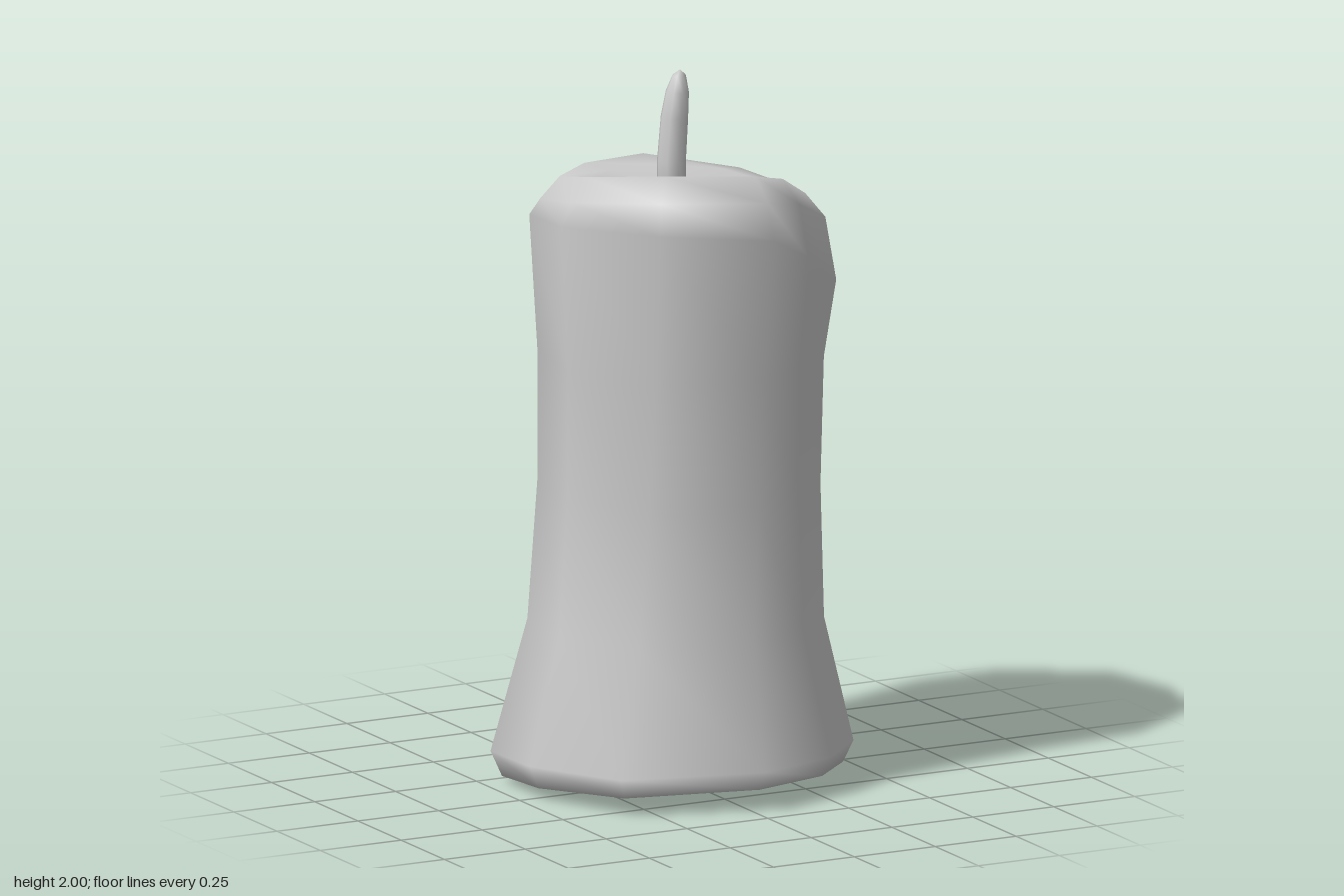
import * as THREE from 'three';

// Smooth closed skin over a stack of rings (bottom to top), each end closed by a centre point
function loft(rings, bottom, top) {
  const n = rings[0].length;
  const pos = [...rings.flat(), bottom, top].flat();
  const idx = [];
  const last = (rings.length - 1) * n;
  const b = rings.length * n, t = b + 1;
  for (let j = 0; j < n; j++) {
    const k = (j + 1) % n;
    for (let i = 0; i < rings.length - 1; i++) {
      const lo = i * n, hi = lo + n;
      idx.push(lo + j, hi + j, hi + k, lo + j, hi + k, lo + k);
    }
    idx.push(b, j, k, t, last + k, last + j);
  }
  const g = new THREE.BufferGeometry();
  g.setAttribute('position', new THREE.Float32BufferAttribute(pos, 3));
  g.setIndex(idx);
  g.computeVertexNormals();
  return g;
}

// Uneven outlines (x, z) of the foot and the upper bulge, clockwise from the back
const foot = [[0.04, -0.445], [0.35, -0.36], [0.48, -0.10], [0.43, 0.19], [0.27, 0.36],
  [0.02, 0.445], [-0.36, 0.325], [-0.48, 0.02], [-0.47, -0.225], [-0.26, -0.37]];
const head = [[0.06, -0.39], [0.35, -0.235], [0.43, 0.03], [0.35, 0.24], [0.21, 0.34],
  [0.06, 0.425], [-0.25, 0.345], [-0.395, 0.045], [-0.345, -0.235], [-0.17, -0.385]];
// Heights of the bulge and of the sagging rim, column by column
const bulgeY = [1.57, 1.48, 1.38, 1.42, 1.52, 1.6, 1.63, 1.61, 1.58, 1.57];
const rimY = [1.69, 1.65, 1.63, 1.66, 1.73, 1.765, 1.78, 1.74, 1.69, 1.685];

// Ring blended between foot (t = 0) and head (t = 1)
const ring = (t, scale, height) => foot.map(([fx, fz], j) => {
  const x = (fx + (head[j][0] - fx) * t) * scale;
  const z = (fz + (head[j][1] - fz) * t) * scale;
  return [x, height(j, z), z];
});

export function createModel() {
  const group = new THREE.Group();
  group.name = 'candle';
  const material = new THREE.MeshStandardMaterial({ color: 0xcccccc });

  // Wax body with tilted base, waist, soft shoulder and shallow hollow
  const wax = new THREE.Mesh(loft([
    ring(0, 0.84, (j, z) => 0.03 + 0.07 * z),
    ring(0, 0.94, (j, z) => 0.035 + 0.07 * z),
    ring(0, 1, (j, z) => 0.1 + 0.04 * z),
    ring(0.25, 0.85, () => 0.46),
    ring(0.6, 0.86, () => 0.84),
    ring(0.8, 0.9, () => 1.2),
    ring(1, 1, j => bulgeY[j]),
    ring(1, 0.93, j => rimY[j] - 0.065),
    ring(1, 0.8, j => rimY[j]),
    ring(1, 0.58, j => 1.675 + (rimY[j] - 1.675) * 0.35),
  ], [0, 0.03, 0], [0, 1.665, 0]), material);
  wax.name = 'waxBody';
  group.add(wax);

  // Bent, tapering wick: [centre x, y, radius]
  const sections = [[-0.034, 1.64, 0.042], [-0.034, 1.75, 0.041], [-0.025, 1.87, 0.039],
    [-0.016, 1.94, 0.033], [-0.01, 1.985, 0.019]];
  const wick = new THREE.Mesh(loft(sections.map(([cx, y, r]) =>
    Array.from({ length: 8 }, (_, j) => {
      const a = j * Math.PI / 4;
      return [cx + r * Math.sin(a), y, 0.006 - r * Math.cos(a)];
    })), [-0.034, 1.64, 0.006], [-0.008, 2, 0.006]), material);
  wick.name = 'wick';
  group.add(wick);

  return group;
}
